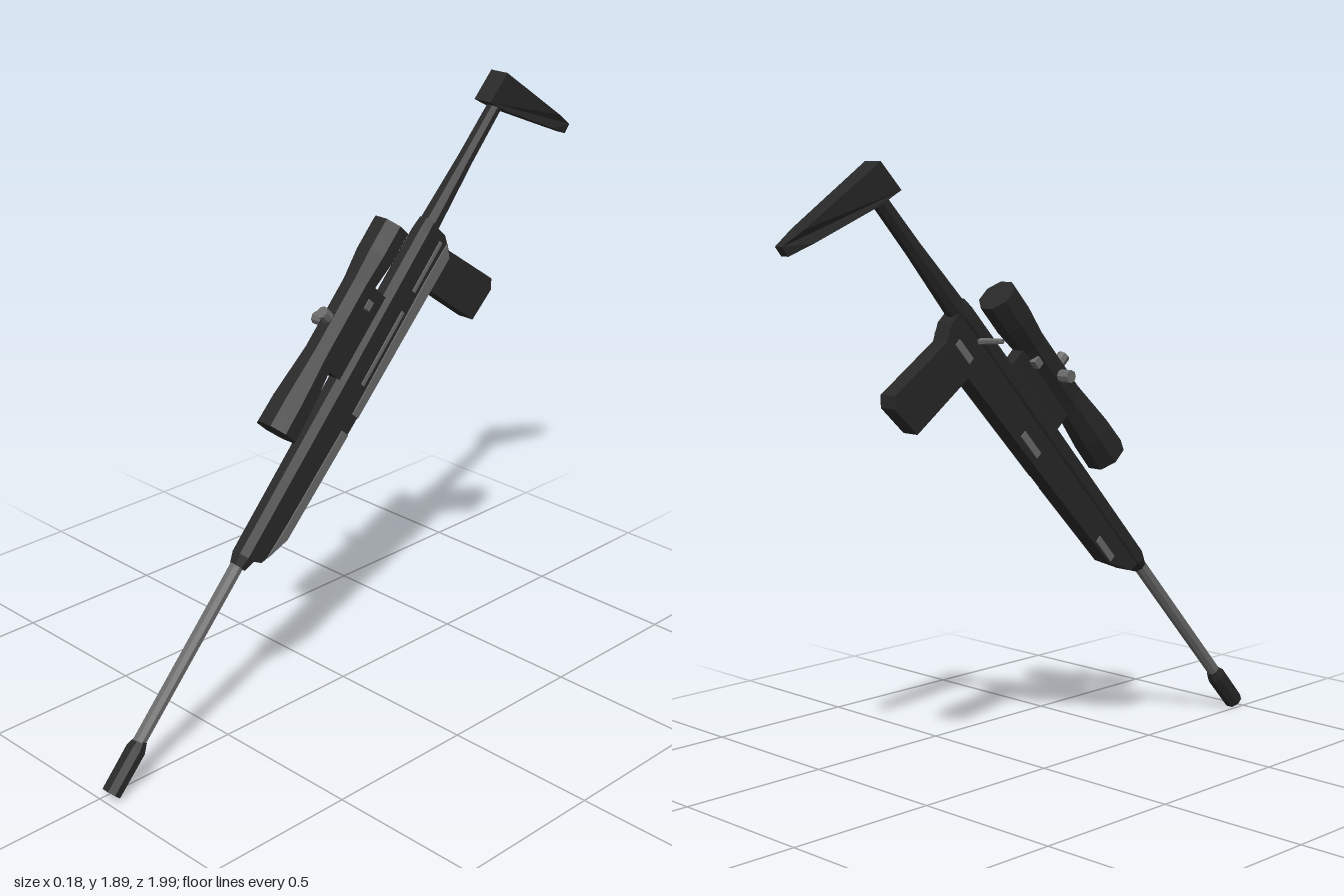
import * as THREE from 'three';

const black = new THREE.MeshStandardMaterial({ color: 0x282828 });
black.name = 'black';
const steel = new THREE.MeshStandardMaterial({ color: 0x6a6a6a });
steel.name = 'steel grey';

// Give a geometry hard facets
function facet(geo) {
  const g = geo.index ? geo.toNonIndexed() : geo;
  g.computeVertexNormals();
  return g;
}

export function createModel() {
  // Local frame: x runs from muzzle to butt, y towards the scope, z to the side
  const rifle = new THREE.Group();
  rifle.name = 'rifle';

  const add = (name, geo, mat) => {
    const mesh = new THREE.Mesh(facet(geo), mat);
    mesh.name = name;
    rifle.add(mesh);
    return mesh;
  };

  // Turned part along x; profile is [position, radius] pairs
  const turned = (name, profile, y, mat, sides = 8) => {
    const pts = profile.map(([u, r]) => new THREE.Vector2(r, u));
    const geo = new THREE.LatheGeometry(pts, sides);
    geo.rotateY(Math.PI / sides).rotateZ(-Math.PI / 2).translate(0, y, 0);
    return add(name, geo, mat);
  };

  // Side outline extruded between z0 and z1
  const slab = (outline, z0, z1) => {
    const shape = new THREE.Shape(outline.map(([u, v]) => new THREE.Vector2(u, v)));
    return new THREE.ExtrudeGeometry(shape, { depth: z1 - z0, bevelEnabled: false }).translate(0, 0, z0);
  };

  // Barrel and muzzle brake
  turned('muzzleBrake', [[0, 0], [0, 0.031], [0.145, 0.032], [0.175, 0.021], [0.175, 0]], 0, black);
  turned('barrel', [[0.16, 0], [0.16, 0.021], [0.8, 0.022], [0.8, 0]], 0.003, steel);

  // Long tubular receiver and tapering stock
  turned('receiver', [[0.755, 0], [0.755, 0.027], [0.79, 0.038], [1.4, 0.04], [1.92, 0.038], [1.96, 0.034], [1.96, 0]], -0.002, black);
  turned('stockTube', [[1.94, 0], [1.94, 0.035], [2.2, 0.026], [2.41, 0.024], [2.41, 0]], -0.008, black);

  // Lower body below the receiver
  add('lowerBody', slab([
    [0.79, -0.02], [0.8, -0.055], [0.9, -0.104], [1.35, -0.118],
    [1.92, -0.131], [1.955, -0.065], [1.955, -0.01],
  ], -0.03, 0.03), black);

  // Steel plates on the left flank
  [
    [[0.82, -0.064], [0.9, -0.103], [1.27, -0.115], [1.27, -0.082], [0.95, -0.072]],
    [[1.33, -0.117], [1.91, -0.13], [1.94, -0.09], [1.8, -0.085], [1.33, -0.088]],
    [[1.42, -0.07], [1.68, -0.07], [1.68, -0.057], [1.42, -0.057]],
    [[1.75, -0.068], [1.93, -0.068], [1.93, -0.055], [1.75, -0.055]],
  ].forEach((o) => add('leftPlate', slab(o, 0.029, 0.034), steel));

  // Small steel patches on the right flank
  [[0.9, 1.0], [1.4, 1.5], [1.82, 1.9]].forEach(([a, b]) =>
    add('rightPlate', slab([[a, -0.098], [b, -0.098], [b, -0.075], [a, -0.075]], -0.034, -0.029), steel));

  // Pistol grip
  add('grip', slab([
    [1.788, -0.11], [1.818, -0.376], [1.935, -0.385], [1.963, -0.36], [1.928, -0.11],
  ], -0.03, 0.03), black);

  // Butt, narrowing sideways at the toe
  const butt = slab([
    [2.368, 0.052], [2.391, -0.037], [2.475, -0.27], [2.504, -0.352],
    [2.538, -0.35], [2.526, -0.27], [2.478, 0.05],
  ], -0.033, 0.033);
  const p = butt.attributes.position;
  for (let i = 0; i < p.count; i++) {
    const v = p.getY(i);
    const k = v < -0.3 ? 0.45 : v < -0.2 ? 0.86 : 1;
    p.setZ(i, p.getZ(i) * k);
  }
  add('butt', butt, black);

  // Telescopic sight with flared ends
  turned('scope', [
    [1.15, 0], [1.15, 0.068], [1.25, 0.066], [1.42, 0.051],
    [1.66, 0.051], [1.76, 0.061], [1.865, 0.061], [1.865, 0],
  ], 0.137, black);

  // Scope mount and its clamp
  add('scopeMount', slab([[1.39, 0.02], [1.68, 0.02], [1.68, 0.1], [1.39, 0.1]], -0.022, 0.022), black);
  add('mountClamp', new THREE.BoxGeometry(0.03, 0.025, 0.09).translate(1.62, 0.098, 0), steel);

  // Scope adjustment knobs, on top and on the right
  const knob = () => new THREE.CylinderGeometry(0.02, 0.02, 0.05, 8);
  add('topKnob', knob().translate(1.521, 0.192, 0), steel);
  add('sideKnob', knob().rotateX(Math.PI / 2).translate(1.521, 0.137, -0.063), steel);

  // Bolt handle on the right
  add('boltHandle', new THREE.CylinderGeometry(0.008, 0.011, 0.1, 6)
    .rotateX(-Math.PI / 2 + 0.08).translate(1.836, -0.018, -0.07), steel);

  // Tilt the rifle, muzzle down to the front
  const basis = new THREE.Matrix4().makeBasis(
    new THREE.Vector3(0, 0.74, -0.6726),
    new THREE.Vector3(0, 0.6726, 0.74),
    new THREE.Vector3(1, 0, 0),
  );
  rifle.quaternion.setFromRotationMatrix(basis);
  rifle.position.set(0.025, 0.025, 0.976);

  const model = new THREE.Group();
  model.name = 'model';
  model.add(rifle);
  return model;
}
